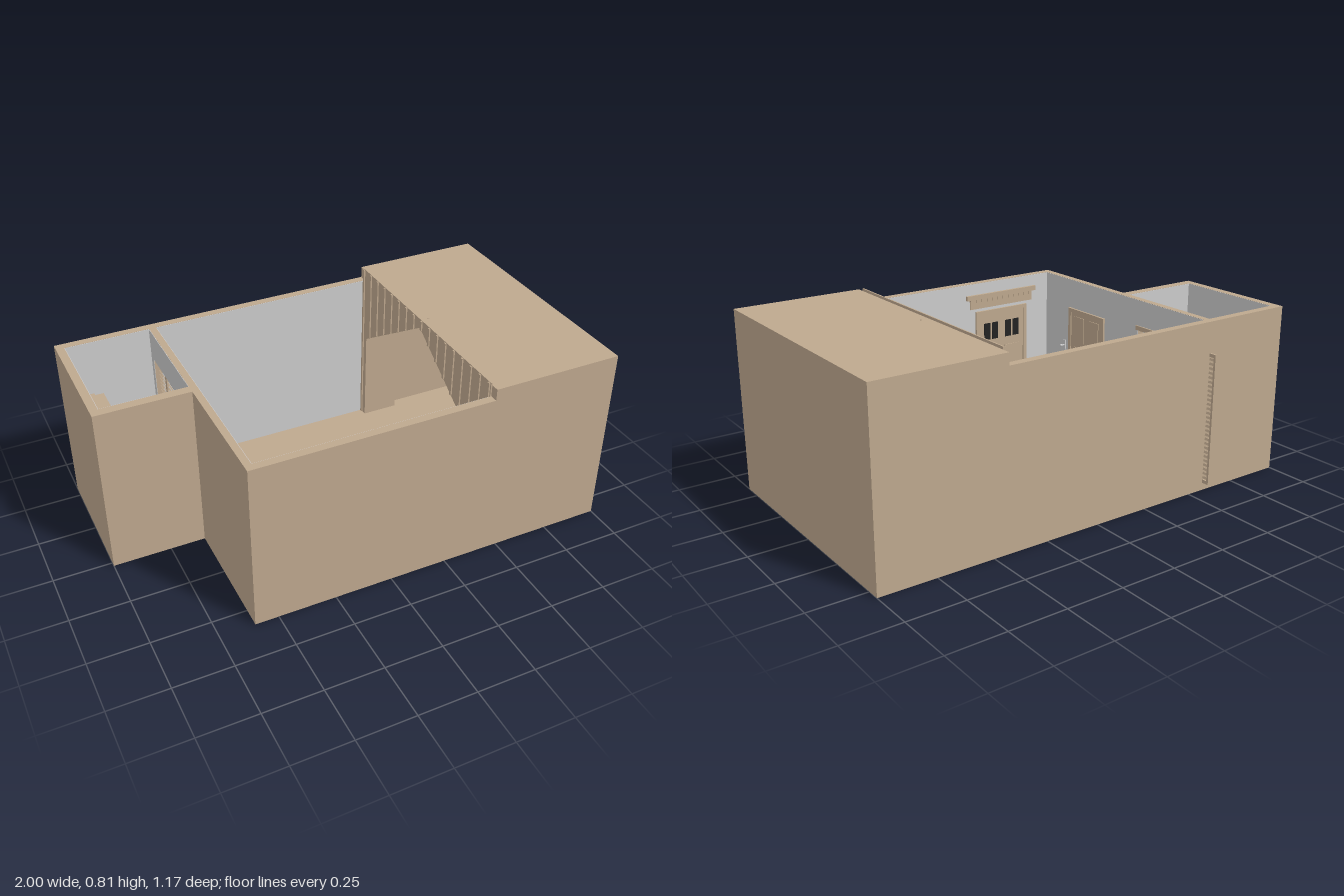
import * as THREE from 'three';

const tan = new THREE.MeshStandardMaterial({ color: 0xbea88e });
const grey = new THREE.MeshStandardMaterial({ color: 0xcccccc });
const dark = new THREE.MeshStandardMaterial({ color: 0x222222 });

const FLOOR = 0.035, WALL = 0.75, ROOF = 0.8, DOOR = 0.615;

// Box given by its two extreme corners
function slab(parent, name, x0, x1, y0, y1, z0, z1, mat = tan) {
  const m = new THREE.Mesh(new THREE.BoxGeometry(x1 - x0, y1 - y0, z1 - z0), mat);
  m.position.set((x0 + x1) / 2, (y0 + y1) / 2, (z0 + z1) / 2);
  m.name = name;
  parent.add(m);
  return m;
}

function group(parent, name) {
  const g = new THREE.Group();
  g.name = name;
  parent.add(g);
  return g;
}

// Louvred leaf standing in the plane x = const
function louvreLeaf(parent, x, z0, z1) {
  const g = group(parent, 'louvreLeaf');
  const a = x - 0.004, b = x + 0.004;
  slab(g, 'stile', a, b, FLOOR, DOOR, z0, z0 + 0.01);
  slab(g, 'stile', a, b, FLOOR, DOOR, z1 - 0.01, z1);
  slab(g, 'bottomRail', a, b, FLOOR, 0.05, z0 + 0.01, z1 - 0.01);
  slab(g, 'topRail', a, b, 0.6, DOOR, z0 + 0.01, z1 - 0.01);
  for (let i = 0; i < 28; i++) {
    const y = 0.06 + i * 0.0196;
    const s = slab(g, 'slat', a, b, y - 0.005, y + 0.005, z0 + 0.01, z1 - 0.01);
    s.scale.x = 0.6;
    s.rotation.z = 0.4;
  }
}

// Panelled door built facing +z around x = 0, standing on y = 0
function panelDoor(parent, name, w, h, glazed) {
  const g = group(parent, name);
  const t = 0.018;
  slab(g, 'leaf', -w / 2, w / 2, 0, h, 0, 0.004);
  for (const s of [-1, 1]) {
    const c = s * w / 2;
    slab(g, 'jamb', c - t / 2, c + t / 2, 0, h, 0, 0.009);
    const p = s * w * 0.22, hw = w * 0.15;
    slab(g, 'lowerPanel', p - hw, p + hw, 0.05, h * 0.42, 0, 0.007);
    slab(g, 'middlePanel', p - hw, p + hw, h * 0.48, h * 0.68, 0, 0.007);
    if (!glazed) slab(g, 'upperPanel', p - hw, p + hw, h * 0.73, h * 0.94, 0, 0.007);
    else for (const q of [-1, 1]) {
      const c2 = p + q * hw * 0.55;
      slab(g, 'pane', c2 - hw * 0.42, c2 + hw * 0.42, h * 0.75, h * 0.89, 0, 0.006, dark);
    }
  }
  slab(g, 'head', -w / 2 - t / 2, w / 2 + t / 2, h - t, h, 0, 0.01);
  slab(g, 'handlePlate', w * 0.42 - 0.006, w * 0.42 + 0.006, h * 0.4, h * 0.5, 0, 0.011);
  slab(g, 'handle', w * 0.42 - 0.04, w * 0.42 + 0.006, h * 0.45, h * 0.45 + 0.008, 0.011, 0.022);
  return g;
}

// Small wall hook facing +z
function hook(parent, name) {
  const g = group(parent, name);
  slab(g, 'plate', -0.008, 0.008, -0.025, 0.025, 0, 0.004, grey);
  const arm = new THREE.Mesh(new THREE.CylinderGeometry(0.004, 0.004, 0.02, 8), grey);
  arm.rotation.x = Math.PI / 2;
  arm.position.z = 0.012;
  const ball = new THREE.Mesh(new THREE.SphereGeometry(0.007, 10, 8), grey);
  ball.position.z = 0.022;
  arm.name = 'arm';
  ball.name = 'knob';
  g.add(arm, ball);
  return g;
}

// Panel of width z0..z1 with a gabled opening, extruded along +x from x0
function gablePanel(parent, name, x0, depth, top, z0, z1) {
  const s = new THREE.Shape([[z0, FLOOR], [-0.48, FLOOR], [-0.48, 0.46], [0, 0.77], [0.48, 0.46],
    [0.48, FLOOR], [z1, FLOOR], [z1, top], [z0, top]].map(p => new THREE.Vector2(-p[0], p[1])));
  const m = new THREE.Mesh(new THREE.ExtrudeGeometry(s, { depth, bevelEnabled: false }), tan);
  m.rotation.y = Math.PI / 2;
  m.position.x = x0;
  m.name = name;
  parent.add(m);
}

export function createModel() {
  const model = new THREE.Group();
  model.name = 'cabinRoom';

  // Floors and outer walls
  const shell = group(model, 'shell');
  slab(shell, 'mainFloor', -0.6, 1, 0, FLOOR, -0.555, 0.585);
  slab(shell, 'annexFloor', -1, -0.6, 0, FLOOR, -0.555, 0.02);
  slab(shell, 'backWall', -1, 0.43, FLOOR, WALL, -0.555, -0.52);
  slab(shell, 'frontWall', -0.6, 0.43, FLOOR, WALL, 0.55, 0.585);
  slab(shell, 'sideWall', -0.6, -0.57, FLOOR, WALL, -0.12, 0.55);
  slab(shell, 'sideWallEnd', -0.6, -0.57, FLOOR, WALL, -0.52, -0.49);
  slab(shell, 'lintel', -0.6, -0.57, DOOR, WALL, -0.49, -0.12);
  slab(shell, 'annexSideWall', -1, -0.965, FLOOR, WALL, -0.52, 0.02);
  slab(shell, 'annexFrontWall', -0.965, -0.6, FLOOR, WALL, -0.02, 0.02);

  // Plaster inside the walls
  const lining = group(model, 'plaster');
  const T = WALL - 0.001, e = 0.002;
  slab(lining, 'backPlaster', -0.57, 0.42, FLOOR, T, -0.52, -0.52 + e, grey);
  slab(lining, 'frontPlaster', -0.57, 0.42, FLOOR, T, 0.55 - e, 0.55, grey);
  slab(lining, 'annexBackPlaster', -0.965, -0.6, FLOOR, T, -0.52, -0.52 + e, grey);
  slab(lining, 'annexFrontPlaster', -0.965, -0.6, FLOOR, T, -0.02 - e, -0.02, grey);
  slab(lining, 'annexSidePlaster', -0.965, -0.965 + e, FLOOR, T, -0.52, -0.02, grey);
  for (const [x, zEnd] of [[-0.57, 0.55], [-0.6 - e, -0.02]]) {
    slab(lining, 'sidePlaster', x, x + e, FLOOR, T, -0.12, zEnd, grey);
    slab(lining, 'sidePlaster', x, x + e, FLOOR, T, -0.52, -0.49, grey);
    slab(lining, 'sidePlaster', x, x + e, DOOR, T, -0.49, -0.12, grey);
  }

  // Sliding louvred doors between the room and the annex
  const louvres = group(model, 'louvreDoors');
  louvreLeaf(louvres, -0.58, -0.59, -0.395);
  louvreLeaf(louvres, -0.58, -0.395, -0.2);
  slab(louvres, 'headTrim', -0.57, -0.562, DOOR, DOOR + 0.02, -0.51, -0.11);

  // Shelf and step in the annex
  const bench = group(model, 'annexShelf');
  slab(bench, 'shelf', -0.963, -0.87, 0.48, 0.5, -0.518, -0.022);
  slab(bench, 'shelfLip', -0.87, -0.83, 0.47, 0.49, -0.518, -0.022);

  // Front entrance with a moulded cornice
  const entry = panelDoor(model, 'entranceDoor', 0.27, 0.58, true);
  entry.position.set(-0.295, FLOOR, 0.548);
  entry.rotation.y = Math.PI;
  const cornice = group(model, 'doorCornice');
  slab(cornice, 'cornice', -0.49, -0.1, 0.675, 0.697, 0.536, 0.549);
  slab(cornice, 'frieze', -0.47, -0.12, 0.63, 0.675, 0.541, 0.549);
  for (let i = 0; i < 12; i++) {
    const x = -0.465 + i * 0.03;
    slab(cornice, 'dentil', x, x + 0.014, 0.66, 0.675, 0.537, 0.541);
  }

  // Side door and wall hooks
  const side = panelDoor(model, 'sideDoor', 0.24, 0.58, false);
  side.position.set(-0.568, FLOOR, 0.235);
  side.rotation.y = Math.PI / 2;
  const h1 = hook(model, 'frontHook');
  h1.position.set(0.01, 0.36, 0.548);
  h1.rotation.y = Math.PI;
  const h2 = hook(model, 'sideHook');
  h2.position.set(-0.568, 0.42, 0.4);
  h2.rotation.y = Math.PI / 2;

  // Roofed alcove
  const alcove = group(model, 'alcove');
  slab(alcove, 'alcoveBackWall', 0.43, 1, FLOOR, ROOF, -0.555, -0.52);
  slab(alcove, 'alcoveFrontWall', 0.43, 1, FLOOR, ROOF, 0.55, 0.585);
  slab(alcove, 'alcoveEndWall', 0.965, 1, FLOOR, ROOF, -0.52, 0.55);
  slab(alcove, 'alcoveRoof', 0.43, 0.965, 0.78, ROOF, -0.52, 0.55);
  gablePanel(alcove, 'gabledPartition', 0.43, 0.16, 0.78, -0.52, 0.55);
  slab(alcove, 'ridgePin', 0.465, 0.471, 0.78, 0.803, -0.01, -0.004);

  // Board cladding around the gabled opening
  gablePanel(alcove, 'boardCladding', 0.424, 0.006, 0.811, -0.515, 0.55);
  for (let i = 0; i <= 16; i++) {
    const z = -0.51 + i * 0.0655;
    const low = Math.abs(z) > 0.475 ? FLOOR : 0.775 - Math.abs(z) * 0.646;
    slab(alcove, 'batten', 0.418, 0.424, low, 0.808, z - 0.006, z + 0.006);
  }

  // Shelves along the alcove wall
  for (let i = 0; i < 5; i++) {
    const y = 0.16 + i * 0.11;
    slab(alcove, 'shelf', 0.59, 0.965, y, y + 0.018, 0.42, 0.55);
  }
  return model;
}
